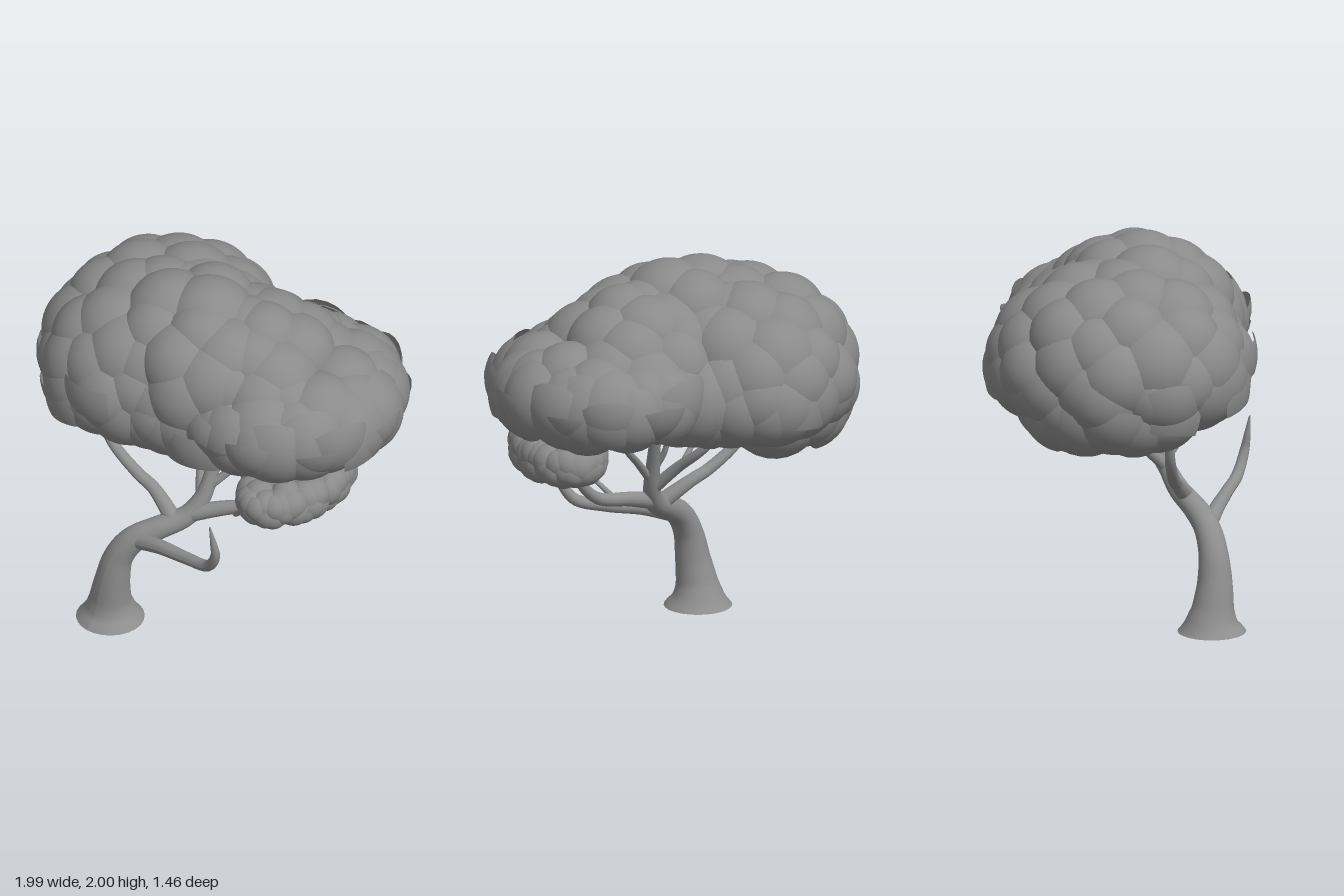
import * as THREE from 'three';

const bark = new THREE.MeshStandardMaterial({ color: 0x8e8e8e, side: THREE.DoubleSide });
const leaf = new THREE.MeshStandardMaterial({ color: 0x8a8a8a, side: THREE.DoubleSide });
const UP = new THREE.Vector3(0, 1, 0);

// Small seeded generator giving -1..1
function seeded(seed) {
  return () => {
    seed = (seed * 16807) % 2147483647;
    return (seed / 2147483647) * 2 - 1;
  };
}

// Tapered tube through points [x, y, z, radius]
function limb(name, points, sides = 14) {
  const curve = new THREE.CatmullRomCurve3(points.map(p => new THREE.Vector3(p[0], p[1], p[2])));
  const steps = points.length * 6;
  const geo = new THREE.TubeGeometry(curve, steps, 1, sides, false);
  const pos = geo.attributes.position, v = new THREE.Vector3();
  for (let i = 0; i <= steps; i++) {
    const c = curve.getPointAt(i / steps);
    const t = curve.getUtoTmapping(i / steps) * (points.length - 1);
    const k = Math.min(Math.floor(t), points.length - 2);
    const r = THREE.MathUtils.lerp(points[k][3], points[k + 1][3], t - k);
    for (let j = 0; j <= sides; j++) {
      const n = i * (sides + 1) + j;
      v.fromBufferAttribute(pos, n).sub(c).multiplyScalar(r).add(c);
      pos.setXYZ(n, v.x, Math.max(v.y, 0), v.z);
    }
  }
  geo.computeVertexNormals();
  const mesh = new THREE.Mesh(geo, bark);
  mesh.name = name;
  return mesh;
}

// A lobe is rounded above (exponent top) and boxier below
const half = (lobe, dy) => (dy > 0 ? { ry: lobe.up, p: lobe.top } : { ry: lobe.down, p: 2.8 });

// Point and outward normal at relative height y (-1..1) and angle a
function onLobe(lobe, y, a) {
  const { ry, p } = half(lobe, y);
  const h = Math.pow(1 - Math.pow(Math.abs(y), p), 1 / p), g = Math.pow(h, p - 1);
  const c = Math.cos(a), s = Math.sin(a);
  return {
    point: new THREE.Vector3(lobe.c[0] + c * h * lobe.rx, lobe.c[1] + y * ry, lobe.c[2] + s * h * lobe.rz),
    normal: new THREE.Vector3(c * g / lobe.rx, Math.sign(y) * Math.pow(Math.abs(y), p - 1) / ry, s * g / lobe.rz).normalize(),
  };
}

function depthIn(lobe, q) {
  const dy = q.y - lobe.c[1], { ry, p } = half(lobe, dy);
  const h = Math.hypot((q.x - lobe.c[0]) / lobe.rx, (q.z - lobe.c[2]) / lobe.rz);
  return Math.pow(Math.pow(h, p) + Math.pow(Math.abs(dy) / ry, p), 1 / p);
}

// Crown of overlapping domed leaf clumps spread over several lobes
function crown(name, lobes, density, radius, seed) {
  const group = new THREE.Group();
  group.name = name;
  const rnd = seeded(seed);
  const dome = new THREE.SphereGeometry(1, 24, 10, 0, Math.PI * 2, 0, Math.PI * 0.34);
  for (const lobe of lobes) {
    const count = Math.round(density * lobe.rx * lobe.rz);
    for (let i = 0; i < count; i++) {
      const { point, normal } = onLobe(lobe, 1 - (2 * (i + 0.5)) / count, i * 2.39996 + rnd() * 0.12);
      if (lobes.some(o => o !== lobe && depthIn(o, point) < 0.88)) continue;
      const r = radius * (1 + rnd() * 0.1);
      const clump = new THREE.Mesh(dome, leaf);
      clump.name = 'leafClump';
      clump.scale.setScalar(r);
      clump.position.copy(point).addScaledVector(normal, -r + rnd() * radius * 0.05);
      clump.quaternion.setFromUnitVectors(UP, normal);
      group.add(clump);
    }
  }
  return group;
}

// Loose curved leaf patch standing a little off the crown, turned to face angle a
function patch(x, y, z, a, tilt, w, h) {
  const R = 0.3;
  const geo = new THREE.SphereGeometry(R, 12, 8, Math.PI / 2 - w / R / 2, w / R, Math.PI / 2 - h / R / 2, h / R);
  geo.translate(0, 0, -R);
  const mesh = new THREE.Mesh(geo, leaf);
  mesh.name = 'loosePatch';
  mesh.position.set(x, y, z);
  mesh.rotation.set(0, a, tilt, 'YXZ');
  return mesh;
}

export function createModel() {
  const tree = new THREE.Group();
  tree.name = 'tree';

  // Leaning trunk with flared, open foot
  tree.add(limb('trunk', [
    [-0.305, 0, 0.49, 0.175], [-0.305, 0.05, 0.49, 0.135], [-0.3, 0.12, 0.495, 0.108],
    [-0.28, 0.25, 0.5, 0.09], [-0.25, 0.4, 0.485, 0.075], [-0.19, 0.51, 0.44, 0.068],
    [-0.1, 0.58, 0.36, 0.062], [0, 0.65, 0.25, 0.054], [0.045, 0.75, 0.18, 0.044],
    [0.06, 0.92, 0.11, 0.035], [0.07, 1.12, 0.03, 0.026],
  ], 24));

  // Main branches and twigs
  const branches = [
    ['lowBranch', [[-0.18, 0.51, 0.44, 0.045], [0, 0.56, 0.45, 0.038], [0.2, 0.59, 0.46, 0.032], [0.36, 0.635, 0.48, 0.03],
      [0.43, 0.74, 0.5, 0.025], [0.43, 0.83, 0.515, 0.017], [0.42, 0.93, 0.53, 0.004]]],
    ['leftBranch', [[0, 0.66, 0.25, 0.046], [0.18, 0.725, 0.13, 0.038], [0.38, 0.78, 0.03, 0.032], [0.48, 0.87, -0.02, 0.027], [0.55, 0.99, -0.06, 0.02]]],
    ['rightBranch', [[-0.04, 0.63, 0.3, 0.045], [-0.2, 0.74, 0.28, 0.034], [-0.3, 0.79, 0.29, 0.032], [-0.47, 0.93, 0.31, 0.028], [-0.54, 1.12, 0.32, 0.02]]],
    ['middleBranch', [[0.04, 0.75, 0.18, 0.033], [-0.06, 0.89, 0.07, 0.028], [-0.14, 0.99, -0.03, 0.024], [-0.23, 1.1, -0.1, 0.018]]],
    ['rearBranch', [[0.07, 0.82, 0.15, 0.022], [0.18, 0.96, 0.03, 0.019], [0.25, 1.04, -0.05, 0.017], [0.33, 1.18, -0.13, 0.014]]],
    ['twig', [[0.04, 0.88, 0.13, 0.018], [0.005, 0.99, 0.08, 0.015], [0, 1.12, 0.06, 0.012]]],
    ['twig', [[0.22, 0.7, 0.12, 0.016], [0.34, 0.82, 0.2, 0.013], [0.46, 0.97, 0.28, 0.01]]],
    ['twig', [[-0.08, 0.91, 0.06, 0.018], [-0.15, 1.0, 0.1, 0.014], [-0.24, 1.12, 0.14, 0.01]]],
  ];
  for (const [name, pts] of branches) tree.add(limb(name, pts));

  // Large crown: right lobe with its low underside, central dome and bridges, left lobe
  tree.add(crown('largeCrown', [
    { c: [-0.36, 1.42, 0.02], rx: 0.63, rz: 0.69, up: 0.52, down: 0.34, top: 2 },
    { c: [-0.52, 1.28, 0.01], rx: 0.44, rz: 0.5, up: 0.3, down: 0.27, top: 2 },
    { c: [-0.1, 1.5, 0.07], rx: 0.66, rz: 0.53, up: 0.5, down: 0.4, top: 2 },
    { c: [-0.02, 1.4, 0], rx: 0.5, rz: 0.6, up: 0.35, down: 0.29, top: 2 },
    { c: [0.18, 1.48, -0.03], rx: 0.57, rz: 0.51, up: 0.45, down: 0.32, top: 2 },
    { c: [0.39, 1.43, -0.1], rx: 0.59, rz: 0.62, up: 0.34, down: 0.23, top: 2 },
  ], 160, 0.235, 7));

  // Small crown on the left branch
  tree.add(crown('smallCrown', [
    { c: [0.585, 1.05, 0.06], rx: 0.24, rz: 0.38, up: 0.135, down: 0.14, top: 2.8 },
  ], 820, 0.088, 11));

  // Loose patches on the outer faces
  const patches = new THREE.Group();
  patches.name = 'loosePatches';
  patches.add(
    patch(-0.3, 1.46, 0.72, 0, 0.06, 0.32, 0.18),
    patch(-0.5, 1.33, 0.7, -0.25, 0.2, 0.28, 0.18),
    patch(-0.82, 1.27, 0.43, -0.95, -0.15, 0.28, 0.2),
    patch(0.28, 1.33, 0.55, 0.2, 0.08, 0.34, 0.18),
    patch(0.98, 1.4, -0.05, 1.6, 0.1, 0.3, 0.2),
    patch(-0.5, 1.35, -0.65, 3.4, -0.1, 0.32, 0.18),
  );
  tree.add(patches);
  return tree;
}
